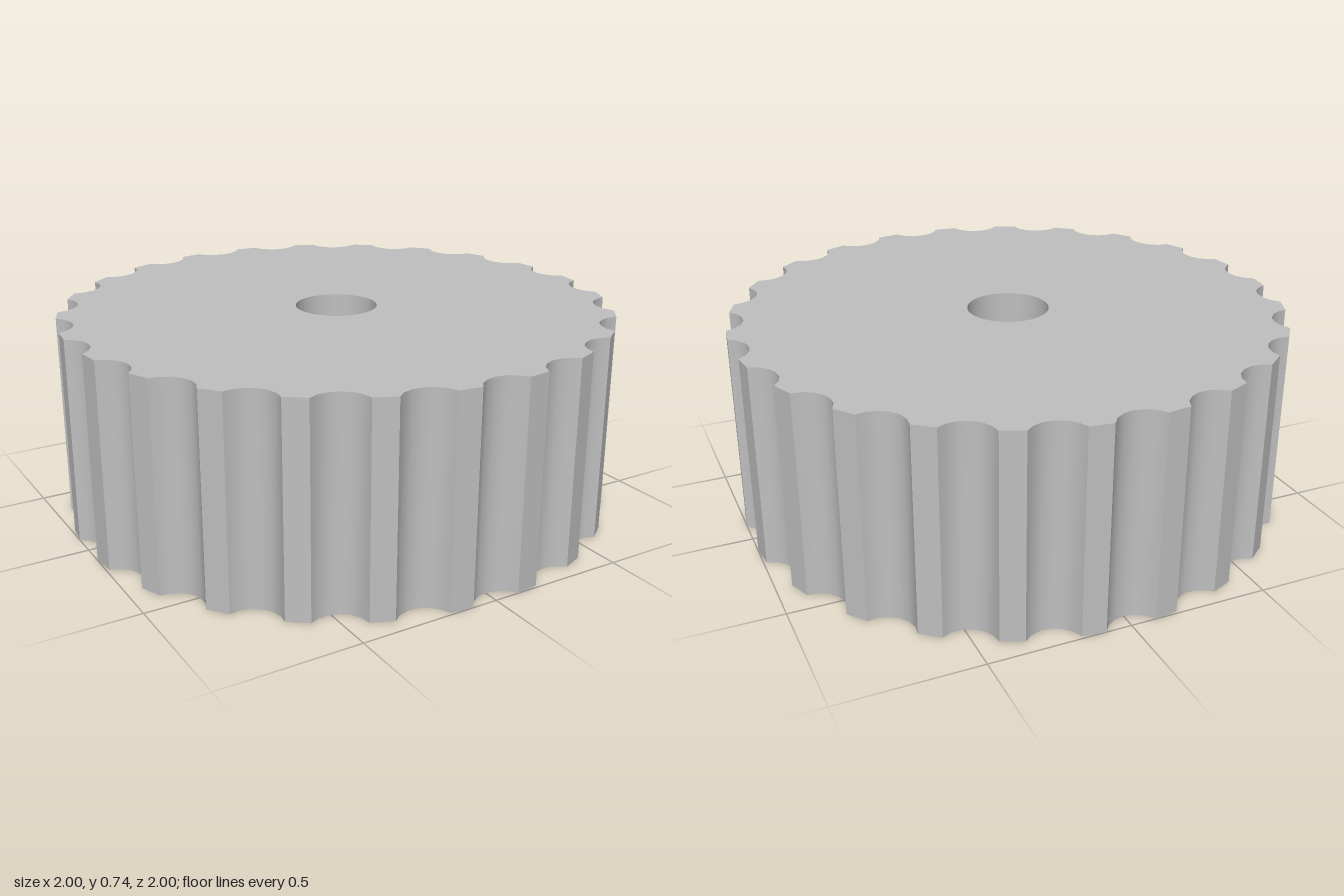
import * as THREE from 'three';

export function createModel() {
  const grey = new THREE.MeshStandardMaterial({ color: 0xc0c0c0 });
  grey.name = 'plainGrey';
  const group = new THREE.Group();
  group.name = 'knob';

  const height = 0.74, grooveDepth = 0.053, socketDepth = 0.42;

  const add = (name, geometry) => {
    const mesh = new THREE.Mesh(geometry, grey);
    mesh.name = name;
    group.add(mesh);
  };

  // Regular outline, counter-clockwise seen from above
  const ring = (radius, sides) => Array.from({ length: sides }, (_, i) => {
    const a = (i / sides) * Math.PI * 2;
    return new THREE.Vector2(Math.cos(a) * radius, Math.sin(a) * radius);
  });

  // Upright wall along a run of points, smooth within the run
  const wall = (name, points, y0, y1) => {
    const pos = [], index = [];
    points.forEach((p, i) => {
      pos.push(p.x, y0, -p.y, p.x, y1, -p.y);
      const a = i * 2;
      if (i < points.length - 1) index.push(a, a + 2, a + 3, a, a + 3, a + 1);
    });
    const g = new THREE.BufferGeometry();
    g.setAttribute('position', new THREE.Float32BufferAttribute(pos, 3));
    g.setIndex(index);
    g.computeVertexNormals();
    add(name, g);
  };
  const closed = (points) => [...points, points[0]];
  const inward = (points) => closed(points).reverse();

  // Level face with an optional hole, facing up or down
  const face = (name, outline, hole, y, up) => {
    const shape = new THREE.Shape(outline);
    if (hole) shape.holes.push(new THREE.Path(hole));
    const g = new THREE.ShapeGeometry(shape);
    g.rotateX(up ? -Math.PI / 2 : Math.PI / 2);
    g.translate(0, y, 0);
    add(name, g);
  };

  // Grip outline: scooped notches joined by flat ribs
  const count = 24, steps = 6, scoopRadius = 0.101, scoopCentre = 1.046, spread = 1.098;
  const notches = Array.from({ length: count }, (_, k) => {
    const t = (k / count) * Math.PI * 2;
    return Array.from({ length: steps + 1 }, (_, i) => {
      const a = spread * (2 * i / steps - 1);
      return new THREE.Vector2(scoopCentre - scoopRadius * Math.cos(a), scoopRadius * Math.sin(a))
        .rotateAround(new THREE.Vector2(), t);
    });
  });
  const grip = notches.flat();
  notches.forEach((notch, k) => {
    wall('gripNotch', notch, 0, height);
    wall('gripRib', [notch[steps], notches[(k + 1) % count][0]], 0, height);
  });

  const bore = ring(0.148, 48), hex = ring(0.284, 6);
  const grooveOuter = ring(0.84, 72), boss = ring(0.495, 64);

  // Top and through bore
  face('topFace', grip, bore, height, true);
  wall('boreWall', inward(bore), socketDepth, height);

  // Underside: rim, ring groove and central boss
  face('bottomRim', grip, grooveOuter, 0, false);
  wall('grooveOuterWall', inward(grooveOuter), 0, grooveDepth);
  face('grooveFloor', grooveOuter, boss, grooveDepth, false);
  wall('bossWall', closed(boss), 0, grooveDepth);
  face('bossFace', boss, hex, 0, false);

  // Hexagonal socket
  hex.forEach((p, i) => wall('socketWall', [hex[(i + 1) % 6], p], 0, socketDepth));
  face('socketFloor', hex, bore, socketDepth, false);

  return group;
}
